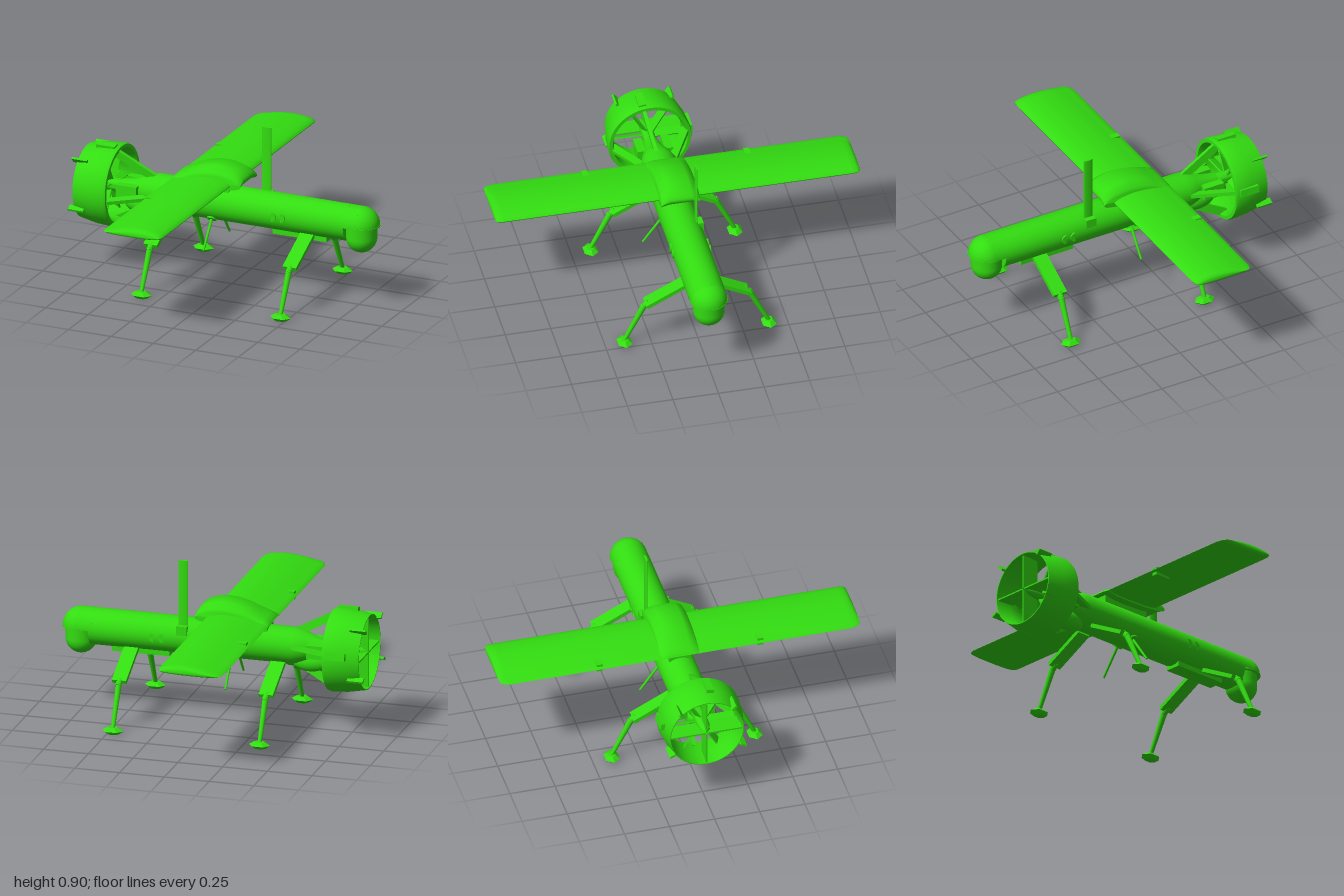
import * as THREE from 'three';
import { toCreasedNormals } from 'three/addons/utils/BufferGeometryUtils.js';

const V = (x, y, z) => new THREE.Vector3(x, y, z);
const AXIS = 0.46; // height of the fuselage axis

export function createModel() {
  const model = new THREE.Group();
  model.name = 'surveyDrone';
  const green = new THREE.MeshStandardMaterial({ color: 0x33dd11, side: THREE.DoubleSide });

  function add(name, geometry, x = 0, y = 0, z = 0, parent = model) {
    const mesh = new THREE.Mesh(geometry, green);
    mesh.name = name;
    mesh.position.set(x, y, z);
    parent.add(mesh);
    return mesh;
  }
  const box = (name, w, h, d, x, y, z, parent) => add(name, new THREE.BoxGeometry(w, h, d), x, y, z, parent);

  // Box running from a to b
  function beam(name, a, b, w, h, parent = model) {
    const mesh = new THREE.Mesh(new THREE.BoxGeometry(w, h, a.distanceTo(b)), green);
    mesh.name = name;
    mesh.position.copy(a).lerp(b, 0.5);
    mesh.lookAt(b);
    parent.add(mesh);
    return mesh;
  }
  // Tapered round rod from a to b
  function rod(name, a, b, ra, rb, parent = model) {
    const mesh = add(name, new THREE.CylinderGeometry(rb, ra, a.distanceTo(b), 12), 0, 0, 0, parent);
    mesh.position.copy(a).lerp(b, 0.5);
    mesh.quaternion.setFromUnitVectors(V(0, 1, 0), b.clone().sub(a).normalize());
    return mesh;
  }
  // Body of revolution about the x axis; points are [x, radius]
  function turned(points, sides = 40) {
    const g = new THREE.LatheGeometry(points.map(([x, r]) => new THREE.Vector2(r, x)), sides);
    return toCreasedNormals(g.rotateZ(-Math.PI / 2), 0.6);
  }
  // Skin over a row of closed sections with equal point counts
  function loft(sections) {
    const n = sections[0].length, pos = [], idx = [];
    sections.forEach(s => s.forEach(p => pos.push(p.x, p.y, p.z)));
    for (let i = 0; i < sections.length - 1; i++) {
      for (let j = 0; j < n; j++) {
        const a = i * n + j, b = i * n + (j + 1) % n;
        idx.push(a, a + n, b, b, a + n, b + n);
      }
    }
    const last = (sections.length - 1) * n;
    for (let j = 1; j < n - 1; j++) idx.push(0, j, j + 1, last, last + j + 1, last + j);
    const g = new THREE.BufferGeometry();
    g.setAttribute('position', new THREE.Float32BufferAttribute(pos, 3));
    g.setIndex(idx);
    return toCreasedNormals(g, 0.7);
  }
  // Airfoil outline, trailing edge at u = 0, leading edge at u = 1
  const foil = new THREE.CatmullRomCurve3([
    [0, 0.2], [0.15, 0.52], [0.4, 0.88], [0.65, 1], [0.86, 0.86], [0.97, 0.62],
    [1, 0.42], [0.95, 0.22], [0.75, 0.06], [0.45, 0], [0.15, 0.03],
  ].map(([u, v]) => V(u, v, 0)), true).getPoints(32).slice(0, -1);
  foil.reverse();
  const section = (z, x0, x1, y0, h) => foil.map(p => V(x0 + (x1 - x0) * p.x, y0 + h * p.y, z));

  // Fuselage with tapering tail
  add('fuselage', turned([[-0.64, 0], [-0.64, 0.04], [-0.56, 0.055], [-0.5, 0.08],
    [-0.43, 0.1], [0.7, 0.1], [0.7, 0]]), 0, AXIS, 0);
  const hood = new THREE.CylinderGeometry(0.1, 0.1, 0.09, 24, 1, false, Math.PI, Math.PI);
  add('noseHoodRear', hood.rotateZ(-Math.PI / 2), 0.725, AXIS, 0);
  add('noseHood', new THREE.SphereGeometry(0.1, 40, 14, 0, Math.PI * 2, 0, Math.PI / 2), 0.765, AXIS, 0);
  const lip = new THREE.CylinderGeometry(0.102, 0.102, 0.008, 40);
  add('noseHoodLip', lip, 0.765, AXIS, 0);
  add('cameraBall', new THREE.CapsuleGeometry(0.085, 0.06, 12, 36), 0.765, 0.42, 0);
  box('bellyPlate', 0.32, 0.03, 0.09, 0.42, 0.358, 0);
  const bulge = new THREE.SphereGeometry(1, 28, 16).scale(0.11, 0.06, 0.055);
  add('bellyBulge', bulge, -0.52, 0.38, 0);

  // Wing with rounded tips
  const tips = [[1, 0.045, 0.02, 0.3], [0.995, 0.025, 0.01, 0.65], [0.98, 0.01, 0.002, 0.9], [0.95, 0, 0, 1]];
  const wingRow = [...tips.map(([z, ...t]) => [-z, ...t]), ...tips.slice().reverse()];
  add('wing', loft(wingRow.map(([z, a, b, k]) =>
    section(z, -0.31 + a, 0.04 - b, 0.575 + 0.022 * (1 - k), 0.054 * k))));

  // Raised fairing over the wing root
  const fairing = [[-0.107, 0.62], [-0.1, 0.75], [-0.06, 1], [0.06, 1], [0.1, 0.75], [0.107, 0.62]];
  add('wingFairing', loft(fairing.map(([z, k]) => section(z, -0.31, 0.1, 0.567, 0.119 * k))));
  box('wingPylon', 0.3, 0.09, 0.12, -0.14, 0.535, 0);

  // Antenna mast beside the centre line
  const mast = new THREE.CylinderGeometry(0.0275, 0.0275, 0.39, 20).scale(1, 1, 0.22);
  add('mast', mast, 0.177, 0.705, -0.064);
  box('mastMount', 0.06, 0.05, 0.03, 0.177, 0.51, -0.085);

  for (const s of [1, -1]) {
    // Control actuators near the trailing edge
    box('flapActuator', 0.095, 0.042, 0.034, -0.247, 0.585, s * 0.445);
    // Side ports
    for (const x of [0.29, 0.343]) {
      const port = new THREE.CylinderGeometry(0.026, 0.026, 0.012, 16, 1, false, 0, Math.PI);
      add('sidePort', port.rotateX(Math.PI / 2), x - 0.01, AXIS, s * 0.1);
    }
    // Whip antennas under the body
    rod('whipAntenna', V(-0.09, 0.385, s * 0.055), V(-0.09, 0.23, s * 0.168), 0.008, 0.006);
    rod('antennaMount', V(-0.09, 0.4, s * 0.045), V(-0.09, 0.375, s * 0.064), 0.032, 0.026);

    // Legs: wide upper panel, tapered shin, hexagonal foot
    for (const x of [0.47, -0.35]) {
      const leg = new THREE.Group();
      leg.name = x > 0 ? 'frontLeg' : 'rearLeg';
      model.add(leg);
      beam('upperLeg', V(x, 0.372, s * 0.05), V(x, 0.255, s * 0.28), 0.08, 0.022, leg);
      rod('knee', V(x, 0.265, s * 0.262), V(x, 0.235, s * 0.295), 0.016, 0.018, leg);
      rod('shin', V(x, 0.25, s * 0.285), V(x, 0.025, s * 0.398), 0.017, 0.011, leg);
      const foot = new THREE.LatheGeometry([[0, 0], [0.035, 0], [0.06, 0.018], [0.03, 0.036], [0, 0.036]]
        .map(([r, y]) => new THREE.Vector2(r, y)), 6).rotateY(Math.PI / 6).scale(1, 1, 0.72);
      // Turn a corner of the hexagon towards x
      add('foot', toCreasedNormals(foot, 0.2), x, 0, s * 0.396, leg);
    }
    // Engine blocks on the tail
    box('engineBlock', 0.12, 0.075, 0.045, -0.58, AXIS, s * 0.075);
  }

  // Tail duct
  add('duct', turned([[-0.845, 0.2], [-0.845, 0.205], [-0.75, 0.223], [-0.66, 0.229], [-0.645, 0.224],
    [-0.645, 0.205], [-0.68, 0.192], [-0.76, 0.19], [-0.845, 0.2]], 56), 0, AXIS + 0.002, 0);

  // Group turned about the fuselage axis, zero pointing up
  function radial(name, angle) {
    const g = new THREE.Group();
    g.name = name;
    g.position.y = AXIS;
    g.rotation.x = angle;
    model.add(g);
    return g;
  }
  // Swept duct struts and guide vanes, four of each
  for (let i = 0; i < 4; i++) {
    const strut = radial('ductStrut', 0.16 + i * Math.PI / 2);
    beam('strutArm', V(-0.43, 0.07, 0), V(-0.68, 0.205, 0), 0.02, 0.045, strut);
    if (i === 0 || i === 3) box('strutClamp', 0.11, 0.04, 0.04, -0.72, 0.22, 0, strut);
    const vane = radial('guideVane', i * Math.PI / 2);
    box('vanePanel', 0.1, 0.19, 0.008, -0.79, 0.1, 0, vane);
  }
  // Propeller
  add('propellerHub', turned([[-0.84, 0], [-0.81, 0.025], [-0.76, 0.035], [-0.63, 0.035], [-0.63, 0]], 24), 0, AXIS, 0);
  for (let i = 0; i < 6; i++) {
    const blade = radial('propellerBlade', Math.PI / 6 + i * Math.PI / 3);
    box('blade', 0.045, 0.155, 0.008, -0.715, 0.105, 0, blade).rotation.y = 0.5;
  }
  // Small fins on the outside of the duct
  for (const degrees of [42, -42, 116, -116]) {
    const fin = radial('ductFin', THREE.MathUtils.degToRad(degrees));
    box('finPlate', 0.09, 0.035, 0.012, -0.825, 0.218, 0, fin);
  }
  return model;
}
